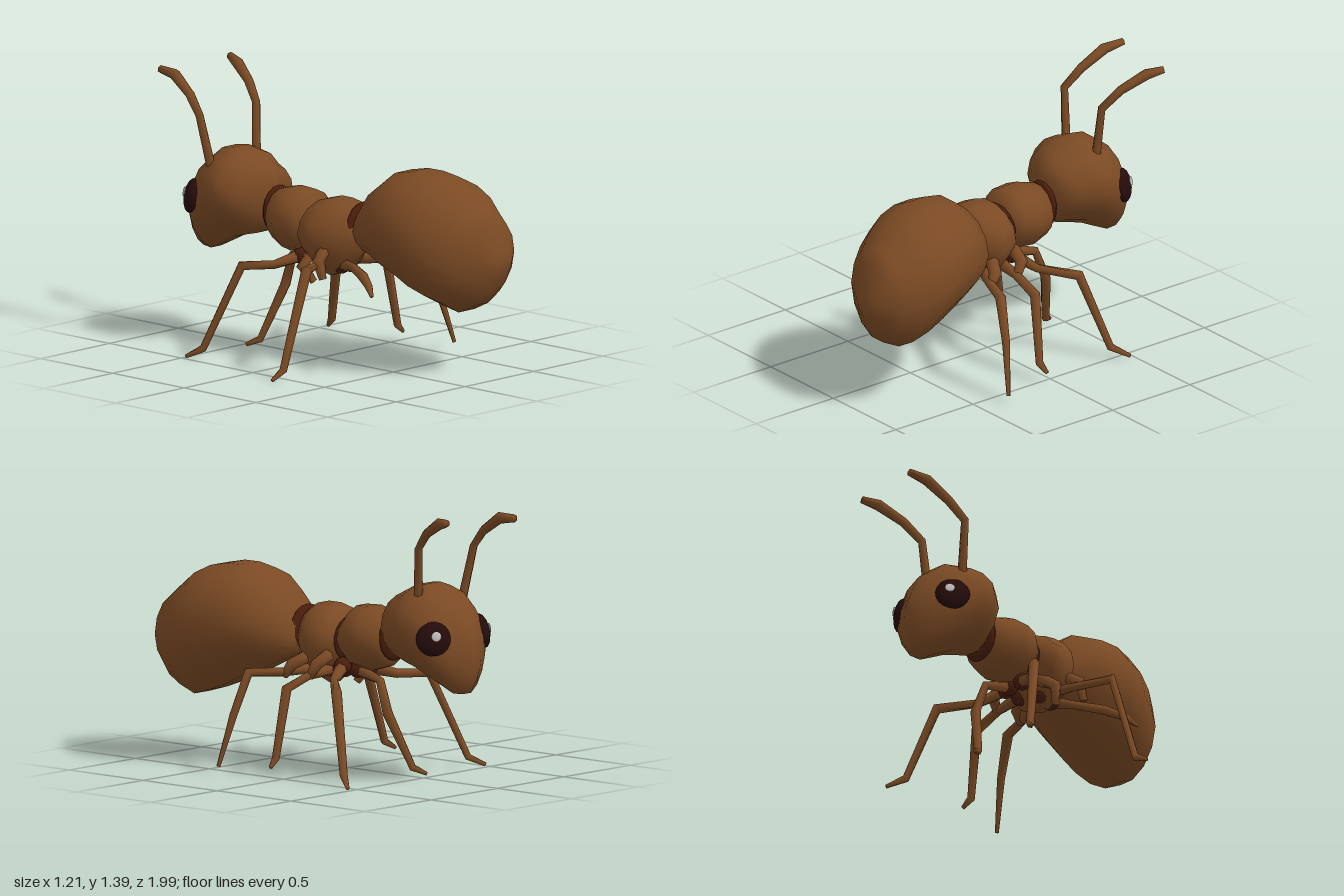
import * as THREE from 'three';

const mat = (name, color) => Object.assign(new THREE.MeshStandardMaterial({ color }), { name });
const V = (p) => new THREE.Vector3(...p);

// Closed smooth skin over a list of rings, each an array of Vector3
function skin(rings) {
  const n = rings[0].length, pos = [], idx = [];
  const centre = (r) => r.reduce((a, p) => a.add(p), new THREE.Vector3()).divideScalar(n);
  rings.forEach((r) => r.forEach((p) => pos.push(p.x, p.y, p.z)));
  const first = rings.length * n, last = first + 1, end = (rings.length - 1) * n;
  [rings[0], rings[rings.length - 1]].forEach((r) => pos.push(...centre(r).toArray()));
  for (let j = 0; j < n; j++) {
    const k = (j + 1) % n;
    for (let i = 0; i < rings.length - 1; i++) {
      const a = i * n + j, b = i * n + k;
      idx.push(a, b, b + n, a, b + n, a + n);
    }
    idx.push(first, k, j, last, end + j, end + k);
  }
  const g = new THREE.BufferGeometry();
  g.setAttribute('position', new THREE.Float32BufferAttribute(pos, 3));
  g.setIndex(idx);
  g.computeVertexNormals();
  return g;
}

// Body segment from sections [z, xMin, xMax, yMin, yMax]; pinch narrows the underside
function segment(sections, pinch = 0, sides = 14) {
  return skin(sections.map(([z, x0, x1, y0, y1]) =>
    Array.from({ length: sides }, (_, j) => {
      const a = (j / sides) * Math.PI * 2, s = Math.sin(a);
      const w = 1 - pinch * Math.max(0, -s);
      return new THREE.Vector3((x0 + x1) / 2 + Math.cos(a) * w * (x1 - x0) / 2,
        (y0 + y1) / 2 + s * (y1 - y0) / 2, z);
    })));
}

// Jointed limb through points with one radius per point
function limb(points, radii, ref, sides = 6) {
  const p = points.map(V);
  return skin(p.map((c, i) => {
    const t = new THREE.Vector3();
    if (i > 0) t.add(c.clone().sub(p[i - 1]).normalize());
    if (i < p.length - 1) t.add(p[i + 1].clone().sub(c).normalize());
    t.normalize();
    const u = new THREE.Vector3().crossVectors(ref, t).normalize();
    const v = new THREE.Vector3().crossVectors(t, u);
    return Array.from({ length: sides }, (_, j) => {
      const a = (j / sides) * Math.PI * 2;
      return c.clone().addScaledVector(u, Math.cos(a) * radii[i]).addScaledVector(v, Math.sin(a) * radii[i]);
    });
  }));
}

export function createModel() {
  const model = new THREE.Group();
  model.name = 'ant';
  const shell = mat('brown shell', 0x7b4a24);
  const joint = mat('dark joint', 0x4a1d0c);
  const eyeDark = mat('eye', 0x260c0c);
  const glint = mat('eye glint', 0xc8c4c4);

  const add = (name, geometry, material) => {
    const m = new THREE.Mesh(geometry, material);
    m.name = name;
    model.add(m);
    return m;
  };
  const blob = (name, material, at, size) => {
    const m = add(name, new THREE.SphereGeometry(1, 14, 9), material);
    m.position.set(...at);
    m.scale.set(...size);
    return m;
  };

  // Body
  add('abdomen', segment([
    [0.2, 0, 0.22, 0.58, 0.75], [0.3, -0.06, 0.38, 0.53, 0.92], [0.4, -0.1, 0.45, 0.48, 1.0],
    [0.5, -0.12, 0.49, 0.44, 1.02], [0.6, -0.13, 0.51, 0.39, 1.02], [0.7, -0.11, 0.52, 0.35, 1.0],
    [0.8, -0.06, 0.5, 0.32, 0.95], [0.9, 0.02, 0.44, 0.37, 0.87], [0.95, 0.1, 0.41, 0.44, 0.82],
    [1.0, 0.2, 0.34, 0.53, 0.66],
  ], 0.05), shell);
  add('rearThorax', segment([
    [-0.05, -0.1, 0.16, 0.58, 0.76], [0, -0.18, 0.23, 0.5, 0.82], [0.07, -0.18, 0.24, 0.43, 0.84],
    [0.15, -0.16, 0.22, 0.46, 0.84], [0.2, -0.1, 0.17, 0.52, 0.81], [0.25, 0, 0.12, 0.58, 0.72],
  ], 0.2), shell);
  add('frontThorax', segment([
    [-0.33, -0.05, 0.1, 0.6, 0.78], [-0.3, -0.1, 0.16, 0.55, 0.83], [-0.2, -0.16, 0.2, 0.52, 0.855],
    [-0.1, -0.15, 0.19, 0.53, 0.85], [-0.04, -0.1, 0.15, 0.58, 0.78],
  ], 0.1), shell);
  add('head', segment([
    [-0.845, -0.05, 0.05, 0.53, 0.76], [-0.8, -0.13, 0.13, 0.46, 0.84], [-0.74, -0.2, 0.21, 0.455, 0.93],
    [-0.65, -0.23, 0.25, 0.5, 1.0], [-0.57, -0.25, 0.265, 0.54, 1.01], [-0.5, -0.26, 0.25, 0.56, 1.0],
    [-0.42, -0.2, 0.2, 0.58, 0.96], [-0.37, -0.12, 0.18, 0.61, 0.93], [-0.335, -0.03, 0.07, 0.65, 0.88],
  ], 0.2), shell);

  // Dark collars between the body segments
  blob('neck', joint, [0.03, 0.71, -0.33], [0.11, 0.125, 0.035]);
  blob('midJoint', joint, [0.03, 0.67, -0.045], [0.14, 0.12, 0.03]);
  blob('waist', joint, [0.08, 0.69, 0.215], [0.13, 0.135, 0.03]);

  // Eyes
  for (const s of [1, -1]) {
    const n = new THREE.Vector3(s * 0.73, 0.2, -0.65).normalize();
    const c = new THREE.Vector3(s * 0.183, 0.755, -0.73);
    const turn = new THREE.Quaternion().setFromUnitVectors(new THREE.Vector3(0, 0, 1), n);
    const side = s > 0 ? 'left' : 'right';
    blob(side + 'Eye', eyeDark, c.toArray(), [0.088, 0.088, 0.04]).quaternion.copy(turn);
    const g = c.clone().addScaledVector(n, 0.038).add(V([-s * 0.01, 0.01, -0.012]));
    blob(side + 'EyeGlint', glint, g.toArray(), [0.025, 0.025, 0.006]).quaternion.copy(turn);
  }

  // Antennae
  const across = new THREE.Vector3(1, 0, 0), along = new THREE.Vector3(0, 0, 1);
  const feelerRadii = [0.024, 0.021, 0.024, 0.03, 0.02];
  add('leftAntenna', limb([[0.14, 0.94, -0.59], [0.16, 1.2, -0.61], [0.2, 1.29, -0.7],
    [0.25, 1.36, -0.83], [0.285, 1.375, -0.91]], feelerRadii, across), shell);
  add('rightAntenna', limb([[-0.15, 0.92, -0.63], [-0.2, 1.18, -0.66], [-0.175, 1.27, -0.75],
    [-0.15, 1.35, -0.88], [-0.14, 1.36, -0.99]], feelerRadii, across), shell);

  // Legs: hip, thigh, knee, ankle, toe
  const legs = {
    rightFrontLeg: [[-0.04, 0.52, -0.1], [-0.17, 0.48, -0.17], [-0.3, 0.48, -0.27], [-0.425, 0.05, -0.42], [-0.49, 0.01, -0.48]],
    leftFrontLeg: [[0.12, 0.54, -0.06], [0.25, 0.49, -0.12], [0.4, 0.46, -0.27], [0.49, 0.06, -0.4], [0.55, 0.01, -0.48]],
    centreFrontLeg: [[0.05, 0.52, -0.1], [0.06, 0.48, -0.26], [0.07, 0.32, -0.32], [-0.03, 0.04, -0.4], [-0.07, 0.01, -0.46]],
    rightMiddleLeg: [[-0.02, 0.5, 0.05], [-0.18, 0.52, 0.13], [-0.35, 0.54, 0.23], [-0.52, 0.05, 0.23], [-0.6, 0.01, 0.23]],
    leftMiddleLeg: [[0.1, 0.52, 0.02], [0.27, 0.5, 0.03], [0.43, 0.45, 0.04], [0.49, 0.1, 0.06], [0.54, 0.06, 0.05]],
    leftRearLeg: [[0.1, 0.52, 0.12], [0.27, 0.5, 0.2], [0.45, 0.51, 0.28], [0.53, 0.3, 0.31], [0.6, 0.04, 0.35]],
    rightRearLeg: [[0, 0.5, 0.14], [-0.04, 0.51, 0.26], [-0.12, 0.5, 0.4], [-0.18, 0.47, 0.5], [-0.21, 0.43, 0.55]],
  };
  for (const [name, path] of Object.entries(legs)) {
    const ref = name === 'centreFrontLeg' || name === 'rightRearLeg' ? across : along;
    add(name, limb(path, [0.035, 0.023, 0.027, 0.02, 0.01], ref), shell);
    blob(name + 'Joint', joint, path[0], [0.045, 0.045, 0.045]);
  }

  // Hip stubs under and beside the thorax
  const hips = [
    [[-0.1, 0.6, 0.12], [-0.19, 0.55, 0.16], [-0.19, 0.46, 0.19]],
    [[0.18, 0.6, -0.02], [0.26, 0.56, -0.01], [0.27, 0.49, 0.03]],
    [[0.18, 0.58, 0.12], [0.26, 0.54, 0.16], [0.27, 0.48, 0.2]],
    [[-0.06, 0.56, 0], [-0.16, 0.5, 0.02], [-0.12, 0.42, 0.06]],
  ];
  hips.forEach((path, i) => add('hip' + (i + 1), limb(path, [0.035, 0.032, 0.02], along), shell));
  return model;
}
